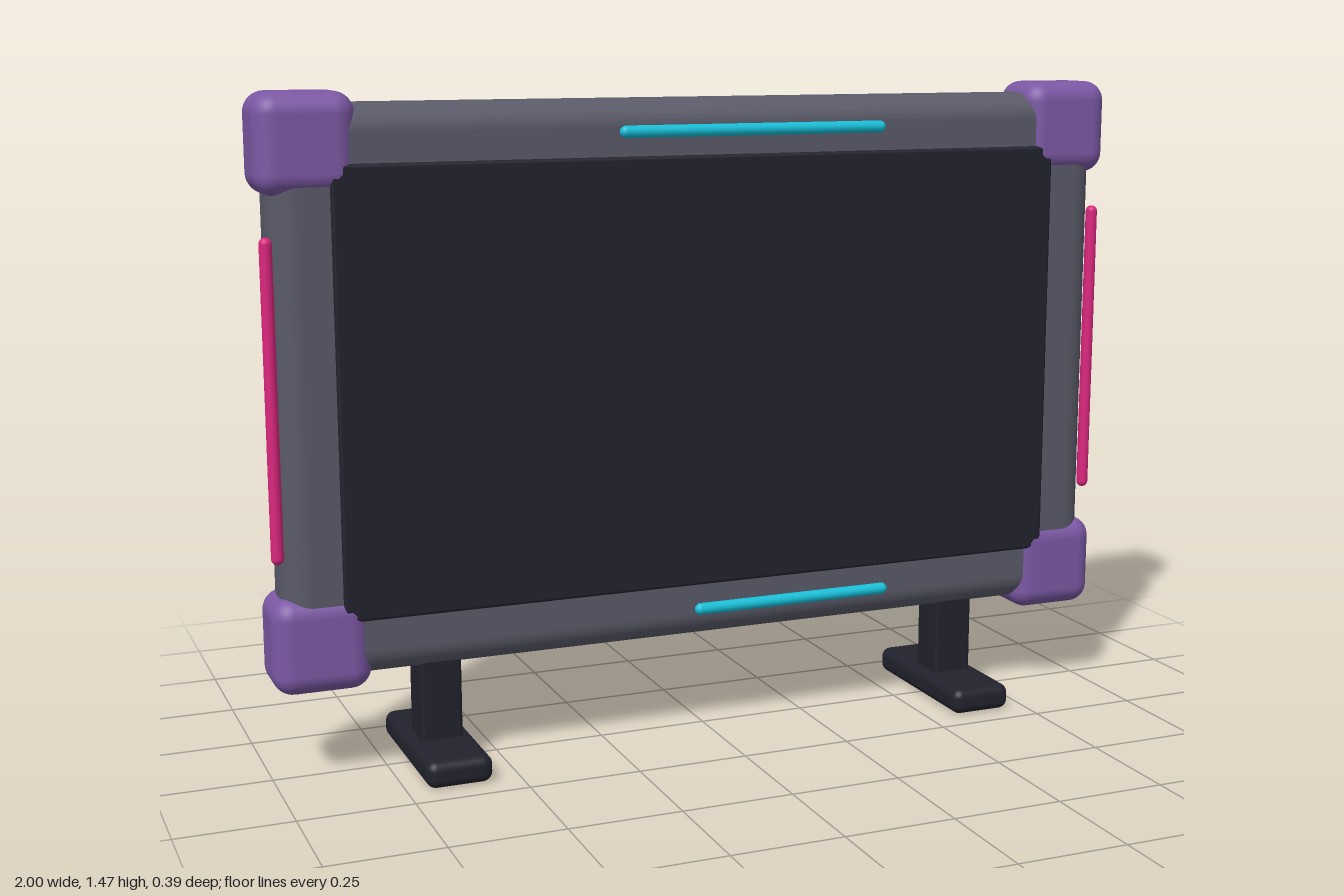
import * as THREE from 'three';
import { RoundedBoxGeometry } from 'three/addons/geometries/RoundedBoxGeometry.js';

const material = (name, color) => {
  const m = new THREE.MeshStandardMaterial({ color });
  m.name = name;
  return m;
};

export function createModel() {
  const group = new THREE.Group();
  const grey = material('frame grey', 0x5a5a69);
  const dark = material('near black', 0x22222e);
  const purple = material('bumper purple', 0x7b58a4);
  const cyan = material('cyan', 0x16bfd8);
  const pink = material('pink', 0xdb267e);

  const add = (name, geometry, mat, x, y, z) => {
    const mesh = new THREE.Mesh(geometry, mat);
    mesh.name = name;
    mesh.position.set(x, y, z);
    group.add(mesh);
    return mesh;
  };
  const box = (name, mat, w, h, d, r, x, y, z) =>
    add(name, new RoundedBoxGeometry(w, h, d, 5, r), mat, x, y, z);
  const bar = (name, mat, length, r, x, y, z) =>
    add(name, new THREE.CapsuleGeometry(r, length - 2 * r, 6, 16), mat, x, y, z);

  // Frame and screen panel
  box('frame', grey, 1.95, 1.215, 0.152, 0.06, 0, 0.835, 0);
  box('screen', dark, 1.7, 0.966, 0.03, 0.008, 0, 0.837, 0.068);

  for (const [side, s] of [['left', 1], ['right', -1]]) {
    // Corner bumpers
    box(side + 'UpperBumper', purple, 0.212, 0.212, 0.168, 0.045, s * 0.894, 1.361, 0);
    box(side + 'LowerBumper', purple, 0.212, 0.212, 0.168, 0.045, s * 0.894, 0.307, 0);
    // Light bar on the side of the frame
    bar(side + 'LightBar', pink, 0.685, 0.0135, s * 0.981, 0.832, 0.052);
    // Stand
    box(side + 'Post', dark, 0.094, 0.26, 0.096, 0.01, s * 0.635, 0.16, 0);
    box(side + 'Foot', dark, 0.146, 0.06, 0.39, 0.022, s * 0.635, 0.03, 0);
  }

  // Light bars on the front of the frame
  bar('upperLightBar', cyan, 0.635, 0.0135, 0.095, 1.373, 0.078).rotation.z = Math.PI / 2;
  bar('lowerLightBar', cyan, 0.485, 0.0135, 0.192, 0.297, 0.078).rotation.z = Math.PI / 2;

  return group;
}
